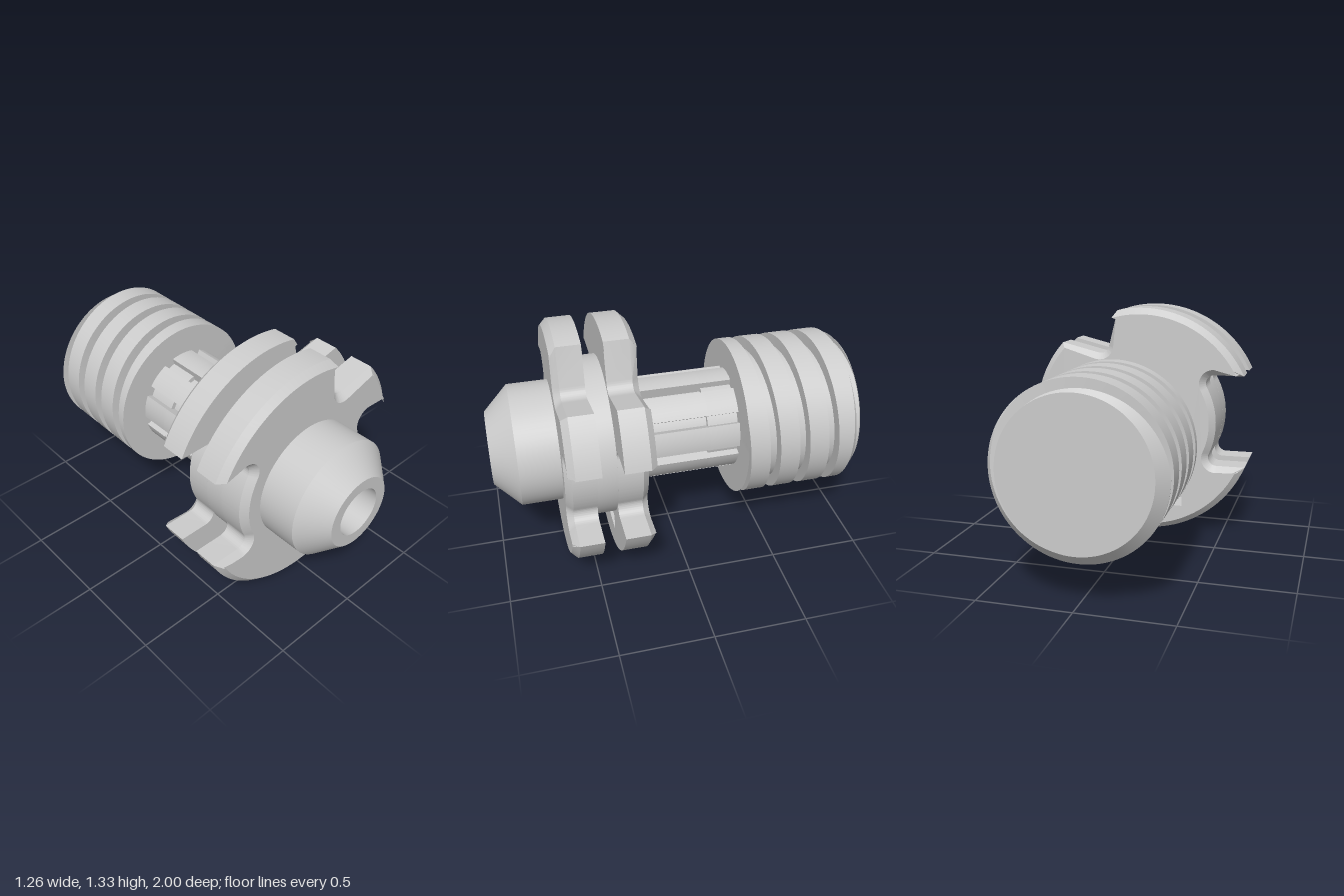
import * as THREE from 'three';
import { toCreasedNormals } from 'three/addons/utils/BufferGeometryUtils.js';

const material = new THREE.MeshStandardMaterial({ color: 0xcccccc });
const RIM = 0.665, WAIST = 0.443, BEVEL = 0.035, FILLET = 0.05;
const SLOT = { half: 0.255, low: -0.5, high: -0.402 };

function part(name, geometry) {
  const mesh = new THREE.Mesh(toCreasedNormals(geometry, 0.5), material);
  mesh.name = name;
  return mesh;
}

// Centre of the rounded corner between a pocket's flat wall and the waist
function pocketCentre(side, wallY) {
  const y = wallY - Math.sign(wallY) * FILLET;
  return [side * Math.sqrt((WAIST + FILLET) ** 2 - y * y), y];
}

// Cam outline: rim lobes, a square notch on top and a pocket on each side
function camShape() {
  const s = new THREE.Shape();
  const rim = (x0, y0, x1, y1) => s.absarc(0, 0, RIM, Math.atan2(y0, x0), Math.atan2(y1, x1), false);
  const pocket = (side, firstY, lastY) => {
    const [ax, ay] = pocketCentre(side, firstY);
    const [bx, by] = pocketCentre(side, lastY);
    s.absarc(ax, ay, FILLET, Math.sign(firstY) * Math.PI / 2, Math.atan2(-ay, -ax), true);
    s.absarc(0, 0, WAIST, Math.atan2(ay, ax), Math.atan2(by, bx), false);
    s.absarc(bx, by, FILLET, Math.atan2(-by, -bx), Math.sign(lastY) * Math.PI / 2, true);
  };
  rim(0.64, 0.178, 0.49, 0.453);
  s.lineTo(0.274, 0.399);
  s.quadraticCurveTo(0.216, 0.384, 0.201, 0.442);
  s.lineTo(0.15, 0.648);
  rim(0.15, 0.648, -0.6, 0.29);
  pocket(-1, 0.29, -0.247);
  rim(-0.62, -0.247, 0.605, -0.267);
  pocket(1, -0.267, 0.178);
  s.closePath();
  return s;
}

// Flange chamfered on one face only: the other bevel is pressed flat
function flange(z0, z1, chamferFront) {
  const shape = camShape();
  const hole = new THREE.Path();
  if (chamferFront) hole.absarc(0, 0, 0.28, 0, Math.PI * 2, true);
  else {
    hole.moveTo(-SLOT.half, SLOT.low);
    hole.lineTo(-SLOT.half, SLOT.high);
    hole.lineTo(SLOT.half, SLOT.high);
    hole.lineTo(SLOT.half, SLOT.low);
    hole.closePath();
  }
  shape.holes.push(hole);
  const depth = z1 - z0 - BEVEL;
  const g = new THREE.ExtrudeGeometry(shape, {
    depth, curveSegments: 20, bevelEnabled: true, bevelSegments: 1,
    bevelSize: BEVEL, bevelThickness: BEVEL, bevelOffset: -BEVEL,
  });
  const p = g.attributes.position;
  for (let i = 0; i < p.count; i++) {
    const x = p.getX(i), y = p.getY(i), z = p.getZ(i);
    p.setZ(i, chamferFront ? Math.max(z, 0) : Math.min(z, depth));
    // Keep the slot walls straight
    if (!chamferFront && Math.abs(x) < 0.295 && y > -0.545 && y < -0.35) {
      p.setX(i, Math.sign(x) * SLOT.half);
      p.setY(i, y < -0.45 ? SLOT.low : SLOT.high);
    }
  }
  return g.translate(0, 0, chamferFront ? z0 : z0 + BEVEL);
}

// Round hub between the flanges, with a flat underside above the slot
function hub() {
  const s = new THREE.Shape();
  const a = Math.asin(SLOT.high / WAIST);
  s.absarc(0, 0, WAIST, a, Math.PI - a, false);
  s.closePath();
  return new THREE.ExtrudeGeometry(s, { depth: 0.11, curveSegments: 36, bevelEnabled: false })
    .translate(0, 0, 0.37);
}

// Nine ribs separated by narrow grooves
function splines(floor, z0, z1) {
  const s = new THREE.Shape();
  const deg = Math.PI / 180;
  for (let k = 0; k < 9; k++) {
    const c = 30 + 40 * k;
    s.absarc(0, 0, floor, (c - 6) * deg, (c + 6) * deg, false);
    s.absarc(0, 0, 0.287, (c + 6) * deg, (c + 34) * deg, false);
  }
  s.closePath();
  return new THREE.ExtrudeGeometry(s, { depth: z1 - z0, curveSegments: 4, bevelEnabled: false })
    .translate(0, 0, z0);
}

// Worm: a cross-section per angle, with a square helical groove and a chamfered end
function worm() {
  const front = -0.34, back = -1, pitch = 0.168, half = 0.029, floor = 0.378, N = 96;
  const clamp = (z) => Math.min(front, Math.max(back, z));
  const section = (angle) => {
    const rows = [[0, front]];
    const add = (r, z) => rows.push([Math.min(r, 0.385 + (clamp(z) - back)), clamp(z)]);
    add(WAIST, front);
    for (let k = -2; k < 6; k++) {
      const c = -0.45 - pitch * k + pitch * (angle / (2 * Math.PI) - 0.25);
      add(WAIST, c + half);
      add(floor, c + half);
      add(floor, c - half);
      add(WAIST, c - half);
      // Extra row where the chamfer begins on this land
      add(WAIST, Math.min(c - half, Math.max(c - pitch + half, -0.942)));
    }
    rows.push([0, back]);
    return rows.map(([r, z]) => new THREE.Vector3(r * Math.cos(angle), r * Math.sin(angle), z));
  };
  const pos = [];
  const tri = (a, b, c) => {
    if (new THREE.Triangle(a, b, c).getArea() > 1e-8) for (const v of [a, b, c]) pos.push(v.x, v.y, v.z);
  };
  for (let i = 0; i < N; i++) {
    const p = section((i / N) * Math.PI * 2), q = section(((i + 1) / N) * Math.PI * 2);
    for (let j = 0; j < p.length - 1; j++) {
      tri(p[j], p[j + 1], q[j]);
      tri(q[j], p[j + 1], q[j + 1]);
    }
  }
  const g = new THREE.BufferGeometry();
  g.setAttribute('position', new THREE.Float32BufferAttribute(pos, 3));
  return g;
}

// Tapered nose with a blind bore
function nose() {
  const profile = [[0.333, 0.48], [0.333, 0.865], [0.2, 1], [0.135, 1], [0.135, 0.5], [0, 0.5]];
  return new THREE.LatheGeometry(profile.map(([r, z]) => new THREE.Vector2(r, z)), 64)
    .rotateX(Math.PI / 2);
}

export function createModel() {
  const group = new THREE.Group();
  group.name = 'camShaft';
  const body = new THREE.Group();
  body.name = 'turnedBody';
  body.position.set(-0.01, 0.667, 0);
  body.add(
    part('nose', nose()),
    part('frontFlange', flange(0.48, 0.645, true)),
    part('hub', hub()),
    part('backFlange', flange(0.2, 0.37, false)),
    part('shaftDeepSplines', splines(0.225, -0.17, 0.2)),
    part('shaftShallowSplines', splines(0.25, -0.34, -0.17)),
    part('worm', worm()),
  );
  group.add(body);
  return group;
}
